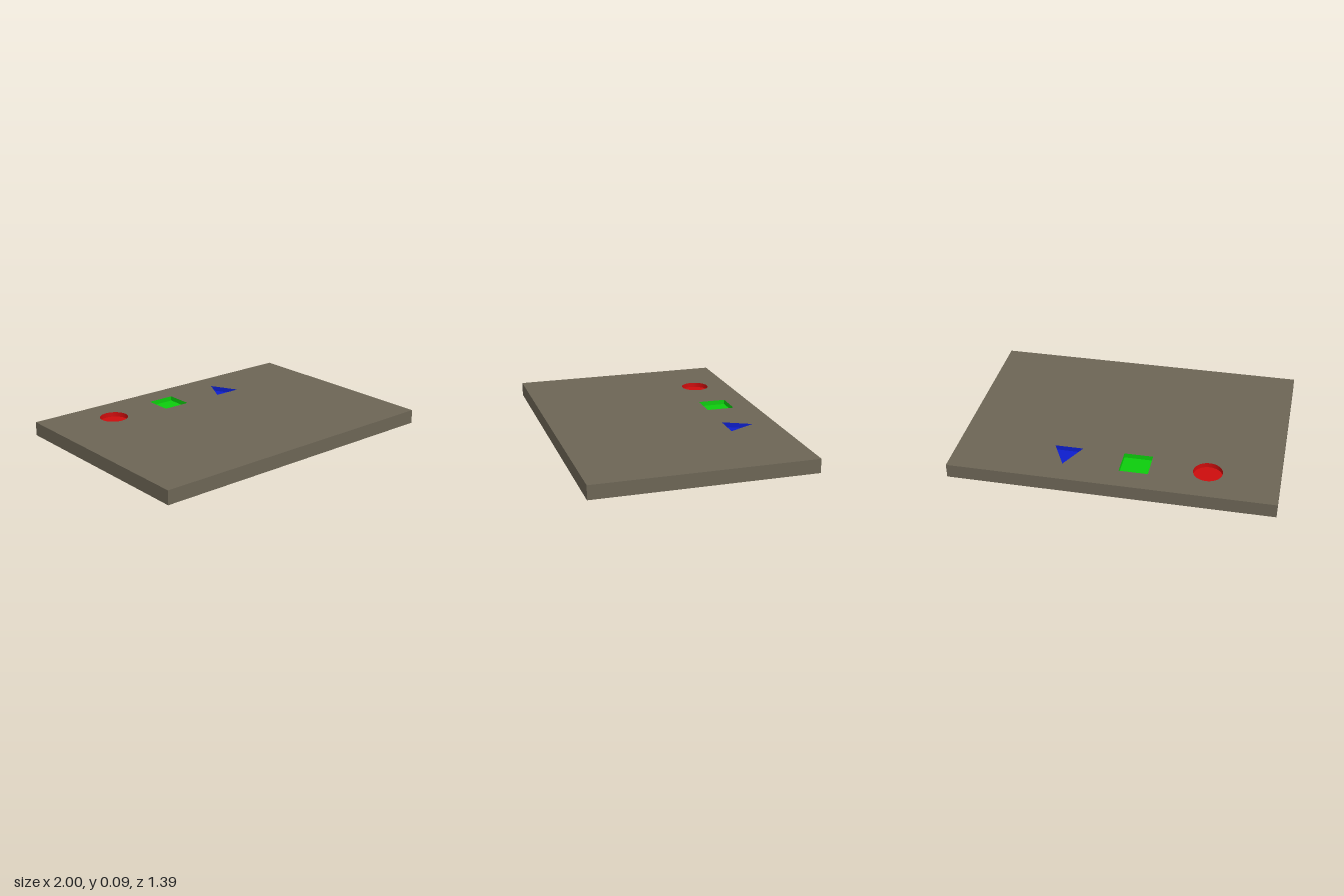
import * as THREE from 'three';
import { mergeGeometries, toCreasedNormals } from 'three/addons/utils/BufferGeometryUtils.js';

const WIDTH = 2, DEPTH = 1.386, HEIGHT = 0.088, RECESS = 0.03;

const material = (name, color) => {
  const m = new THREE.MeshStandardMaterial({ color });
  m.name = name;
  return m;
};

// Shapes are drawn in XY with +Y towards the back, then laid flat.
const layFlat = (geometry, y) => geometry.rotateX(-Math.PI / 2).translate(0, y, 0);

// Inward-facing walls and a floor below a counter-clockwise outline.
function pocketGeometry(outline) {
  const v = [];
  outline.forEach((a, i) => {
    const b = outline[(i + 1) % outline.length];
    v.push(a.x, a.y, -RECESS, a.x, a.y, 0, b.x, b.y, 0);
    v.push(a.x, a.y, -RECESS, b.x, b.y, 0, b.x, b.y, -RECESS);
  });
  const walls = new THREE.BufferGeometry();
  walls.setAttribute('position', new THREE.Float32BufferAttribute(v, 3));
  const floor = new THREE.ShapeGeometry(new THREE.Shape(outline)).toNonIndexed();
  floor.deleteAttribute('uv');
  floor.translate(0, 0, -RECESS);
  walls.computeVertexNormals();
  return layFlat(toCreasedNormals(mergeGeometries([walls, floor]), 0.6), HEIGHT);
}

export function createModel() {
  const group = new THREE.Group();
  const add = (name, geometry, mat) => {
    const mesh = new THREE.Mesh(geometry, mat);
    mesh.name = name;
    group.add(mesh);
  };
  const boardMat = material('board brown', 0x6c6555);

  // Pocket outlines
  const points = (list) => list.map(([x, y]) => new THREE.Vector2(x, y));
  const circle = Array.from({ length: 48 }, (_, i) => {
    const t = (i / 48) * Math.PI * 2;
    return new THREE.Vector2(-0.565 + 0.09 * Math.cos(t), 0.456 + 0.09 * Math.sin(t));
  });
  const pockets = [
    ['roundPocket', circle, material('red', 0xcc0c0c)],
    ['squarePocket', points([[-0.215, 0.367], [-0.036, 0.367], [-0.036, 0.546], [-0.215, 0.546]]), material('green', 0x0ccc0c)],
    ['trianglePocket', points([[0.223, 0.367], [0.401, 0.367], [0.312, 0.543]]), material('blue', 0x0c1ecc)],
  ];

  // Board sides and underside: a box without its top face
  const sides = new THREE.BoxGeometry(WIDTH, HEIGHT, DEPTH).translate(0, HEIGHT / 2, 0);
  const index = Array.from(sides.index.array);
  index.splice(sides.groups[2].start, sides.groups[2].count);
  sides.setIndex(index);
  sides.clearGroups();
  add('boardSides', sides, boardMat);

  // Board top with openings for the pockets
  const w = WIDTH / 2, d = DEPTH / 2;
  const top = new THREE.Shape(points([[-w, -d], [w, -d], [w, d], [-w, d]]));
  pockets.forEach(([, outline]) => top.holes.push(new THREE.Path(outline)));
  add('boardTop', layFlat(new THREE.ShapeGeometry(top), HEIGHT), boardMat);

  // Coloured recesses
  pockets.forEach(([name, outline, mat]) => add(name, pocketGeometry(outline), mat));

  return group;
}
